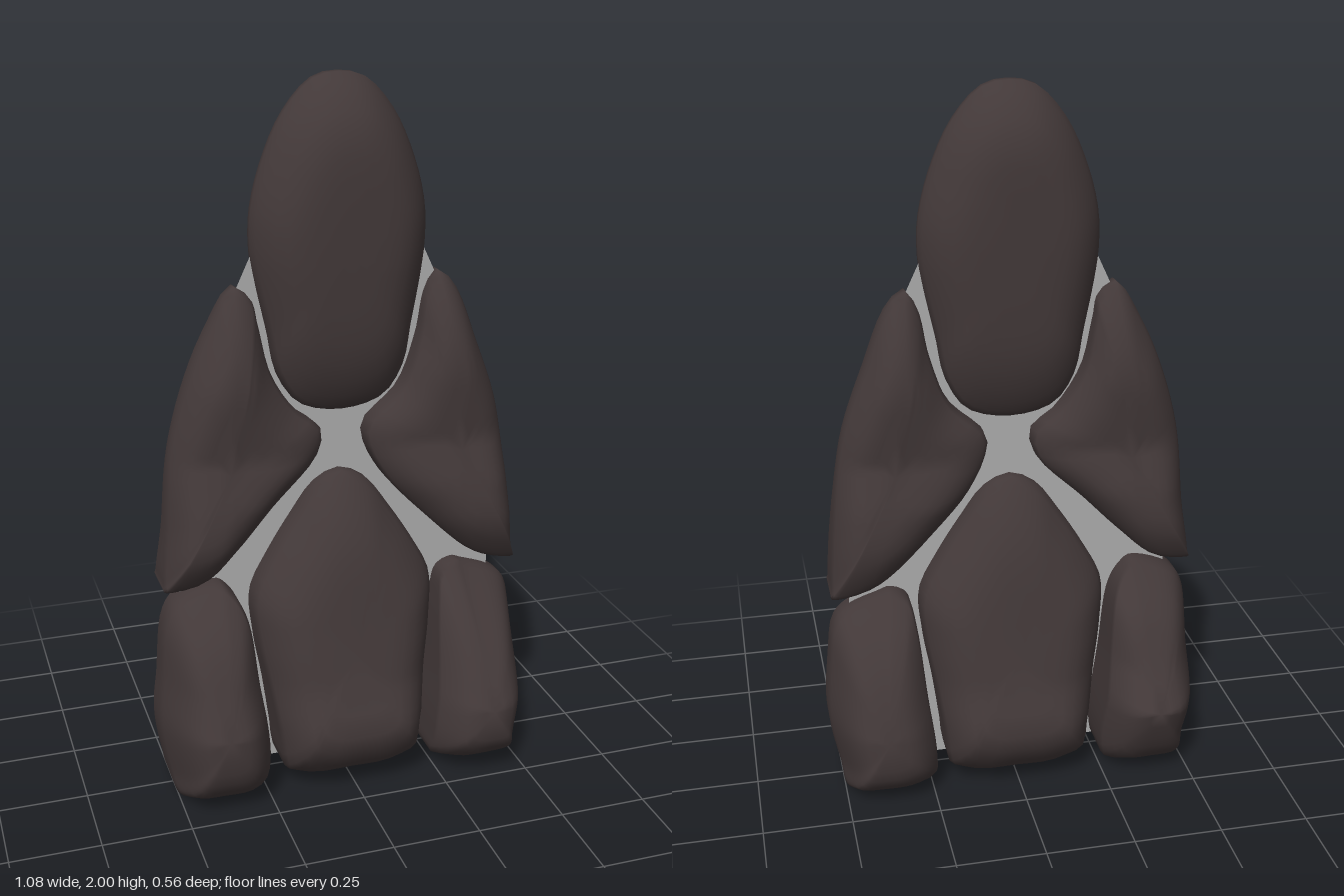
import * as THREE from 'three';

const stoneMaterial = new THREE.MeshStandardMaterial({ color: 0x433939 });
const mortarMaterial = new THREE.MeshStandardMaterial({ color: 0xacacac, side: THREE.DoubleSide });

const SCALES = [0.2, 0.4, 0.55, 0.68, 0.8, 0.9, 0.96, 1];
const SEGMENTS = 64;

// Linear lookup in a table of [y, front depth, back depth]
function depthAt(table, y, column) {
  if (y <= table[0][0]) return table[0][column];
  for (let i = 1; i < table.length; i++) {
    const a = table[i - 1], b = table[i];
    if (y <= b[0]) return THREE.MathUtils.lerp(a[column], b[column], (y - a[0]) / (b[0] - a[0]));
  }
  return table[table.length - 1][column];
}

// A rounded stone: outline rings stepping from the front centre over the rim to the back centre.
// Outline points are [x, y, rim thickness as a share of the depth]; a higher power gives a flatter face.
function stone(name, outline, [cx, cy], power, depths) {
  const curve = new THREE.CatmullRomCurve3(outline.map(([x, y, rim = 0.15]) => new THREE.Vector3(x, y, rim)), true);
  const rim = curve.getSpacedPoints(SEGMENTS).slice(0, SEGMENTS);
  if (THREE.ShapeUtils.isClockWise(rim)) rim.reverse();
  const rings = [
    ...SCALES.map((t) => [t, 1, 1]),
    ...[...SCALES].reverse().map((t) => [t, -1, 2]),
  ];
  const positions = [cx, cy, depthAt(depths, cy, 1)];
  for (const [t, side, column] of rings) {
    const bulge = 1 - t ** power;
    for (const p of rim) {
      const x = cx + (p.x - cx) * t;
      const y = Math.min(2, Math.max(0, cy + (p.y - cy) * t));
      positions.push(x, y, side * THREE.MathUtils.lerp(p.z, 1, bulge) * depthAt(depths, y, column));
    }
  }
  positions.push(cx, cy, -depthAt(depths, cy, 2));
  const last = positions.length / 3 - 1;
  const index = [];
  for (let i = 0; i < SEGMENTS; i++) {
    const j = (i + 1) % SEGMENTS;
    index.push(0, 1 + i, 1 + j);
    for (let r = 0; r < rings.length - 1; r++) {
      const a = 1 + r * SEGMENTS, b = a + SEGMENTS;
      index.push(a + i, b + i, b + j, a + i, b + j, a + j);
    }
    const e = last - SEGMENTS;
    index.push(last, e + j, e + i);
  }
  const geometry = new THREE.BufferGeometry();
  geometry.setAttribute('position', new THREE.Float32BufferAttribute(positions, 3));
  geometry.setIndex(index);
  geometry.computeVertexNormals();
  const mesh = new THREE.Mesh(geometry, stoneMaterial);
  mesh.name = name;
  return mesh;
}

// Completes a half outline that starts and ends on x = 0
const mirrored = (half) => [...half, ...half.slice(1, -1).reverse().map(([x, y, rim]) => [-x, y, rim])];

export function createModel() {
  const group = new THREE.Group();
  group.name = 'stoneStack';

  // Thin mortar sheet filling the gaps between the stones
  const sheetOutline = mirrored([[0, 1.85], [0.12, 1.75], [0.2, 1.62], [0.28, 1.45], [0.39, 1.18],
    [0.45, 0.95], [0.46, 0.64], [0.46, 0.035], [0, 0.035]]);
  const sheet = new THREE.Mesh(
    new THREE.ShapeGeometry(new THREE.Shape(sheetOutline.map(([x, y]) => new THREE.Vector2(x, y)))),
    mortarMaterial);
  sheet.name = 'mortarSheet';
  group.add(sheet);

  // Tall egg-shaped stone at the top, bevelled to a thin edge
  group.add(stone('topStone', mirrored([[0, 2, 0.12], [0.07, 1.985, 0.1], [0.15, 1.9, 0.08], [0.21, 1.77, 0.08],
    [0.24, 1.65, 0.08], [0.243, 1.56, 0.08], [0.23, 1.47], [0.2, 1.33, 0.25], [0.175, 1.21, 0.3],
    [0.12, 1.13, 0.3], [0, 1.1, 0.3]]), [0, 1.55], 5,
  [[1.1, 0.1, 0.09], [1.3, 0.115, 0.105], [1.5, 0.125, 0.11], [1.75, 0.13, 0.115], [1.87, 0.135, 0.125], [2, 0.13, 0.12]]));

  // Wedge stones on the shoulders, with a blunt lower end
  const shoulderDepths = [[0.62, 0.13, 0.12], [0.75, 0.155, 0.135], [0.87, 0.14, 0.125], [1, 0.1, 0.085],
    [1.2, 0.125, 0.115], [1.35, 0.115, 0.105], [1.47, 0.11, 0.1]];
  group.add(stone('rightShoulderStone', [[-0.29, 1.46], [-0.25, 1.43], [-0.23, 1.35, 0.3], [-0.2, 1.22, 0.35],
    [-0.13, 1.11, 0.35], [-0.06, 1.05, 0.35], [-0.07, 0.98, 0.35], [-0.2, 0.85, 0.4], [-0.3, 0.75, 0.5],
    [-0.41, 0.66, 0.65], [-0.5, 0.64, 0.6], [-0.515, 0.66, 0.4], [-0.5, 0.8, 0.2], [-0.48, 1.02],
    [-0.43, 1.2], [-0.37, 1.34]], [-0.33, 0.97], 4.5, shoulderDepths));
  group.add(stone('leftShoulderStone', [[0.28, 1.465], [0.25, 1.42], [0.22, 1.28, 0.3], [0.17, 1.15, 0.35],
    [0.07, 1.05, 0.35], [0.07, 1, 0.35], [0.12, 0.9, 0.4], [0.25, 0.76, 0.5], [0.36, 0.66, 0.6],
    [0.42, 0.63, 0.65], [0.5, 0.61, 0.6], [0.512, 0.64, 0.4], [0.49, 0.9, 0.2], [0.46, 1.08], [0.4, 1.25],
    [0.33, 1.42]], [0.33, 0.97], 4.5, shoulderDepths));

  // Large arched stone at the bottom centre, with steep lower sides
  group.add(stone('centreStone', mirrored([[0, 0.92, 0.3], [0.07, 0.89, 0.3], [0.14, 0.8, 0.25], [0.21, 0.69, 0.25],
    [0.26, 0.59, 0.25], [0.255, 0.45, 0.35], [0.23, 0.3, 0.45], [0.21, 0.15, 0.5], [0.2, 0.07, 0.5],
    [0.16, 0.035, 0.45], [0.1, 0.015, 0.45], [0, 0.015, 0.45]]), [0, 0.42], 5,
  [[0, 0.22, 0.2], [0.08, 0.255, 0.23], [0.2, 0.26, 0.235], [0.32, 0.21, 0.19],
    [0.5, 0.175, 0.16], [0.7, 0.15, 0.135], [0.92, 0.11, 0.1]]));

  // Foot stones: bulging low down, bevelled at the top and outer edge, steep on the inner side, flat below
  group.add(stone('rightFootStone', [[-0.37, 0.63, 0.3], [-0.33, 0.61, 0.4], [-0.29, 0.53, 0.55],
    [-0.27, 0.35, 0.6], [-0.245, 0.12, 0.55], [-0.26, 0.03, 0.5], [-0.3, 0.003, 0.5], [-0.39, 0.001, 0.5],
    [-0.48, 0.003, 0.45], [-0.52, 0.08, 0.2], [-0.54, 0.22], [-0.53, 0.35], [-0.51, 0.54],
    [-0.46, 0.6, 0.25]], [-0.385, 0.25], 3.2,
  [[0, 0.21, 0.2], [0.05, 0.26, 0.24], [0.13, 0.26, 0.245], [0.25, 0.258, 0.277], [0.36, 0.215, 0.21],
    [0.5, 0.19, 0.18], [0.63, 0.15, 0.12]]));
  group.add(stone('leftFootStone', [[0.34, 0.6, 0.4], [0.38, 0.59, 0.3], [0.46, 0.56, 0.25], [0.51, 0.51],
    [0.525, 0.4], [0.535, 0.22], [0.51, 0.08, 0.2], [0.48, 0.003, 0.45], [0.4, 0.001, 0.5],
    [0.32, 0.003, 0.5], [0.25, 0.03, 0.5], [0.24, 0.12, 0.6], [0.26, 0.3, 0.6], [0.28, 0.5, 0.55],
    [0.3, 0.58, 0.45]], [0.385, 0.22], 3.2,
  [[0, 0.21, 0.2], [0.05, 0.27, 0.24], [0.12, 0.285, 0.235], [0.23, 0.275, 0.225], [0.36, 0.215, 0.19],
    [0.5, 0.15, 0.15], [0.6, 0.1, 0.1]]));

  return group;
}
